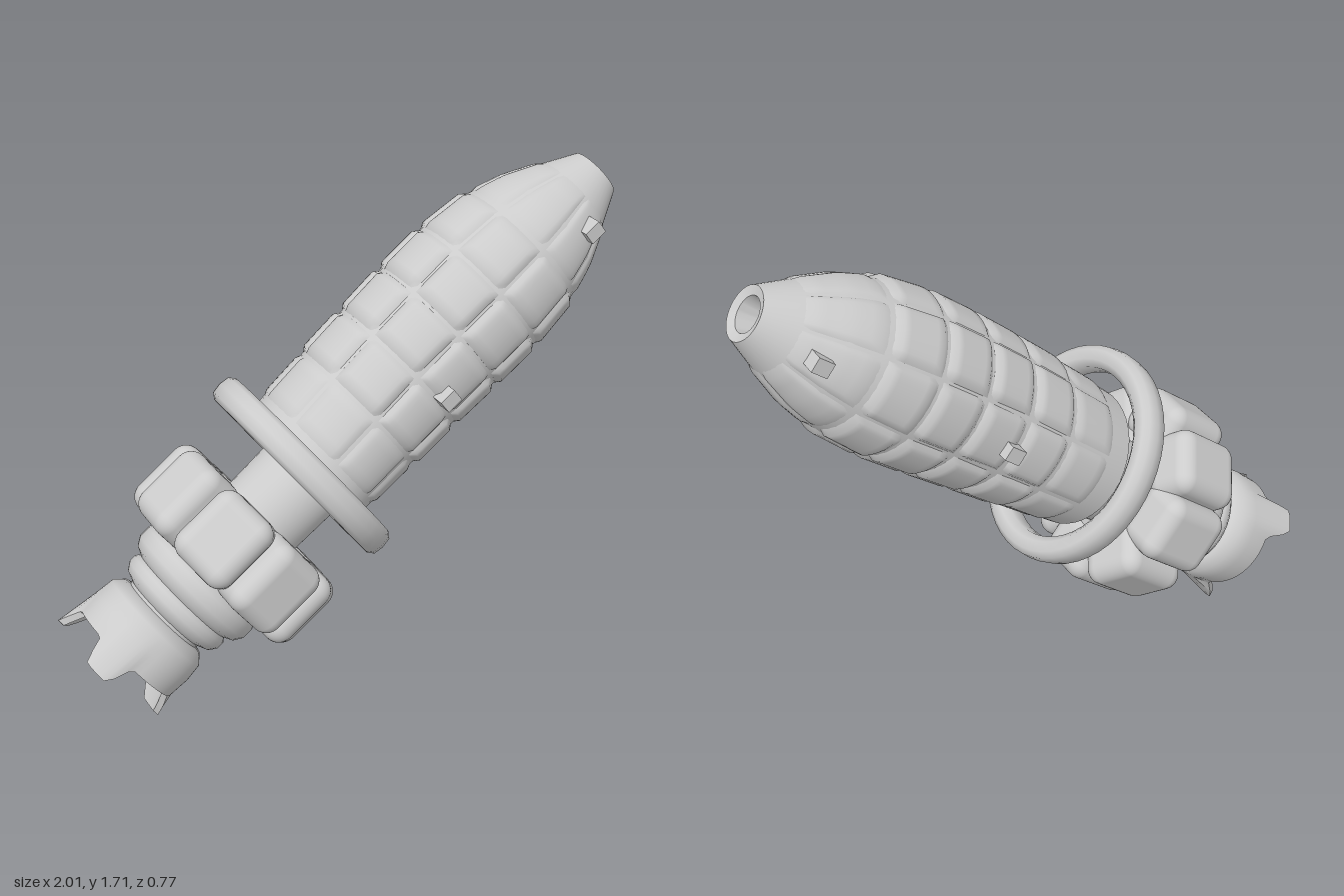
import * as THREE from 'three';
import { RoundedBoxGeometry } from 'three/addons/geometries/RoundedBoxGeometry.js';
import { toCreasedNormals } from 'three/addons/utils/BufferGeometryUtils.js';

const material = new THREE.MeshStandardMaterial({ color: 0xcccccc, side: THREE.DoubleSide });

// Outer hull: [radius, distance along the axis]
const HULL = [[0.24, 0.0], [0.248, 0.15], [0.259, 0.4], [0.268, 0.65], [0.27, 0.85],
  [0.252, 1.02], [0.21, 1.16], [0.152, 1.28], [0.09, 1.4]];

function hullRadius(t) {
  for (let i = 1; i < HULL.length; i++) {
    const [r0, t0] = HULL[i - 1], [r1, t1] = HULL[i];
    if (t <= t1) return r0 + (r1 - r0) * (t - t0) / (t1 - t0);
  }
  return HULL[HULL.length - 1][0];
}

function lathe(points, segments = 40) {
  return new THREE.LatheGeometry(points.map(([r, t]) => new THREE.Vector2(r, t)), segments);
}

// Arches the hull slightly upward and widens its base sideways
function shapeHull(geometry) {
  const p = geometry.attributes.position;
  for (let i = 0; i < p.count; i++) {
    const t = p.getY(i);
    p.setX(i, p.getX(i) - 0.012 * Math.sin(Math.PI * THREE.MathUtils.clamp(t / 1.4, 0, 1)));
    p.setZ(i, p.getZ(i) * (1 + 0.1 * Math.max(0, 1 - t / 0.5)));
  }
  geometry.computeVertexNormals();
  return geometry;
}

// Pillow-shaped plate wrapped on the hull; angle 0 is the upper side
function plateGeometry(angle, span, t0, t1, height) {
  const g = new THREE.PlaneGeometry(2, 2, 12, 8);
  const p = g.attributes.position;
  const ease = (s) => Math.min(1, (1 - Math.abs(s)) * 5);
  for (let i = 0; i < p.count; i++) {
    const u = p.getX(i), v = p.getY(i);
    const a = angle + u * span / 2;
    const t = (t0 + t1) / 2 + v * (t1 - t0) / 2;
    const r = hullRadius(t) - 0.003 + height * ease(u) * ease(v);
    p.setXYZ(i, -r * Math.cos(a), t, r * Math.sin(a));
  }
  return shapeHull(g);
}

export function createModel() {
  const model = new THREE.Group();
  model.name = 'segmentedCapsule';

  const group = (name, parent) => {
    const g = new THREE.Group();
    g.name = name;
    parent.add(g);
    return g;
  };
  const add = (name, geometry, parent) => {
    const mesh = new THREE.Mesh(geometry, material);
    mesh.name = name;
    parent.add(mesh);
    return mesh;
  };
  // Places a mesh around the axis with its own z axis pointing outward
  const around = (mesh, a, r, t) => {
    mesh.position.set(-r * Math.cos(a), t, r * Math.sin(a));
    mesh.rotation.y = a - Math.PI / 2;
  };
  const step = Math.PI / 4;

  const body = group('tiltedBody', model);
  // The rear assembly sits a little below the hull axis
  const rear = group('rearAssembly', body);
  rear.position.set(0.035, -0.005, 0);

  // Hull with closed base and a recessed nose opening
  add('hull', toCreasedNormals(shapeHull(lathe([[0, 0.0], ...HULL,
    [0.06, 1.39], [0.045, 1.32], [0, 1.3]])), 0.6), body);

  // Rows of raised armour plates
  const plates = group('armourPlates', body);
  const rows = [[0.08, 0.27, 0.01], [0.274, 0.46, 0.017], [0.464, 0.65, 0.018],
    [0.654, 0.84, 0.018], [0.844, 1.04, 0.016], [1.045, 1.3, 0.01]];
  for (const [t0, t1, height] of rows) {
    for (let i = 0; i < 8; i++) add('plate', plateGeometry(i * step, step * 0.98, t0, t1, height), plates);
  }

  // Small side tabs on the hull
  for (const side of [-1, 1]) {
    for (const [t, r] of [[0.49, 0.285], [1.22, 0.2]]) {
      around(add('sideTab', new THREE.BoxGeometry(0.05, 0.06, 0.06), body), side * Math.PI / 2, r, t);
    }
  }

  // Large floating ring with a rounded band section
  const ring = add('ring', toCreasedNormals(lathe([[0.302, -0.03], [0.325, -0.05], [0.36, -0.05],
    [0.38, -0.035], [0.385, 0], [0.38, 0.035], [0.36, 0.05], [0.325, 0.05], [0.302, 0.03],
    [0.302, -0.03]], 48), 0.9), body);
  ring.position.y = 0.006;

  // Shaft, hub and two rounded collars
  add('shaft', toCreasedNormals(lathe([[0, 0.01], [0.16, 0.01], [0.155, -0.2], [0.21, -0.22],
    [0.21, -0.45], [0.23, -0.465], [0.243, -0.49], [0.243, -0.53], [0.225, -0.56], [0.195, -0.575],
    [0.207, -0.59], [0.207, -0.615], [0.19, -0.64], [0.155, -0.655], [0.14, -0.7], [0, -0.7]]), 0.8), rear);

  // Ring of rounded blocks around the hub
  const blocks = group('hubBlocks', rear);
  for (let i = 0; i < 8; i++) {
    const block = add('hubBlock', new RoundedBoxGeometry(0.235, 0.275, 0.19, 4, 0.055), blocks);
    around(block, i * step, 0.262, -0.332);
  }

  // Tail cup: its rim is drawn out into three prongs, [angle, flare, length]
  const prongs = [[Math.PI, 0.055, 0.09], [0.8, 0.03, 0.085], [-0.8, 0.03, 0.085]];
  const tail = lathe([[0.12, -0.66], [0.175, -0.67], [0.203, -0.7], [0.21, -0.76], [0.205, -0.84],
    [0.18, -0.84], [0.165, -0.78], [0.14, -0.745], [0, -0.735]], 72);
  const p = tail.attributes.position;
  for (let i = 0; i < p.count; i++) {
    const x = p.getX(i), t = p.getY(i), z = p.getZ(i);
    if (t > -0.8) continue;
    const r = Math.hypot(x, z);
    const a = Math.atan2(z, -x);
    for (const [angle, flare, length] of prongs) {
      const off = Math.acos(Math.min(1, Math.cos(a - angle)));
      const pull = 1 - THREE.MathUtils.smoothstep(off, 0.16, 0.4);
      if (pull > 0) p.setXYZ(i, x * (1 + flare * pull / r), t - length * pull, z * (1 + flare * pull / r));
    }
  }
  add('prongedTail', toCreasedNormals(tail, 0.7), rear);

  // Tilt the axis and set the prong tip on the ground
  body.rotation.z = THREE.MathUtils.degToRad(-53);
  body.position.set(-0.17, 0.802, 0);
  return model;
}
